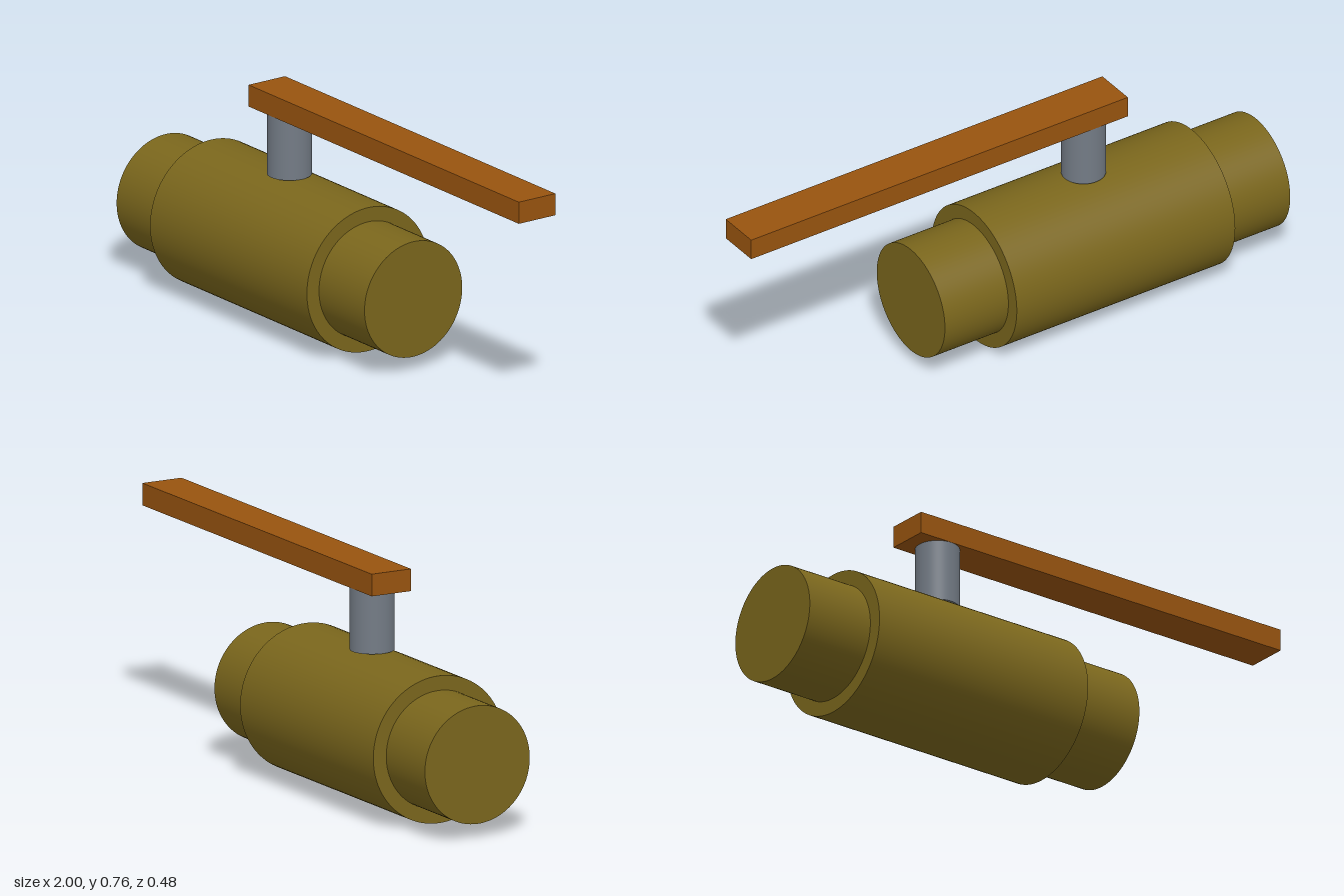
import * as THREE from 'three';

const brass = new THREE.MeshStandardMaterial({ color: 0x7a661c });
const steel = new THREE.MeshStandardMaterial({ color: 0x737b85 });
const orange = new THREE.MeshStandardMaterial({ color: 0x98540f });

const CENTRE_X = -0.333; // middle of the valve body
const AXIS_Y = 0.242; // height of the pipe axis
const BODY_HALF = 0.422;
const PIPE_END = 0.667; // pipe end, measured from the body middle

export function createModel() {
  const model = new THREE.Group();
  model.name = 'leverValve';

  const add = (name, geometry, material, x, y) => {
    const mesh = new THREE.Mesh(geometry, material);
    mesh.name = name;
    mesh.position.set(x, y, 0);
    model.add(mesh);
  };
  // Cylinder lying along x
  const barrel = (radius, length) =>
    new THREE.CylinderGeometry(radius, radius, length, 96).rotateZ(Math.PI / 2);

  // Valve body
  add('valveBody', barrel(0.242, BODY_HALF * 2), brass, CENTRE_X, AXIS_Y);

  // Pipe connections at both ends
  const pipeLength = PIPE_END - BODY_HALF;
  for (const [name, side] of [['leftPipeEnd', 1], ['rightPipeEnd', -1]]) {
    const x = CENTRE_X + side * (BODY_HALF + pipeLength / 2);
    add(name, barrel(0.194, pipeLength), brass, x, AXIS_Y);
  }

  // Stem standing on top of the body
  const stemBottom = 0.485, stemTop = 0.692;
  add('stem', new THREE.CylinderGeometry(0.072, 0.072, stemTop - stemBottom, 64), steel,
    CENTRE_X, (stemBottom + stemTop) / 2);

  // Flat lever handle
  const handleStart = -0.455, handleEnd = 1, thickness = 0.073;
  add('handle', new THREE.BoxGeometry(handleEnd - handleStart, thickness, 0.145), orange,
    (handleStart + handleEnd) / 2, stemTop + thickness / 2);

  return model;
}
